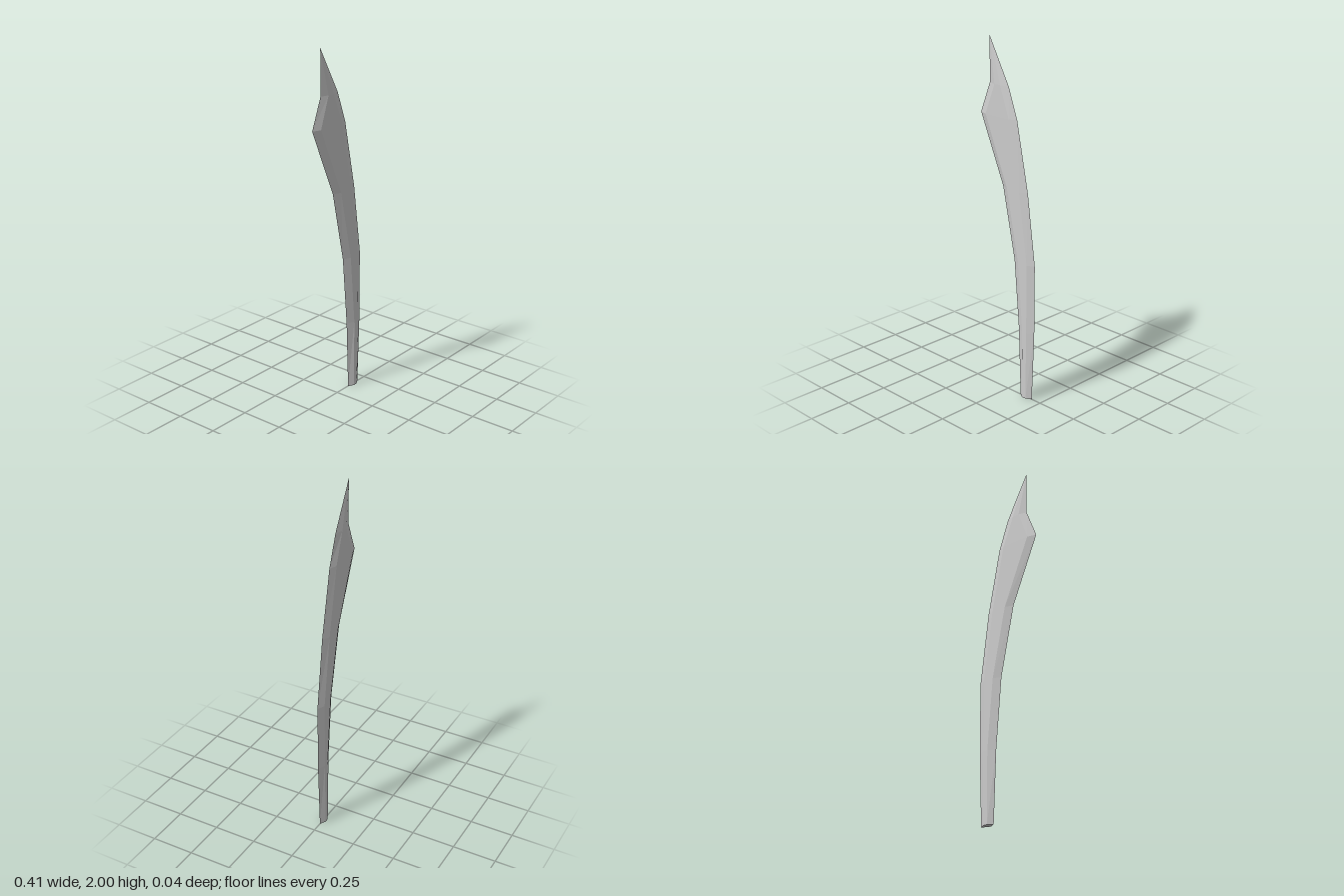
import * as THREE from 'three';

// Blade stations: height, left edge, left ridge, right ridge, right edge, half thickness
const STATIONS = [
  [0.00, 0.10, 0.13, 0.155, 0.187, 0.019],
  [0.40, 0.085, 0.13, 0.16, 0.202, 0.020],
  [0.80, 0.05, 0.095, 0.16, 0.202, 0.020],
  [1.20, -0.037, 0.01, 0.10, 0.147, 0.019],
  [1.58, -0.204, -0.153, 0.022, 0.067, 0.017],
  [1.75, -0.136, -0.088, -0.045, 0.004, 0.014],
  [2.00, -0.136, -0.136, -0.136, -0.136, 0],
];

// Six-sided section, running from the left edge round the front to the right edge and back
function section([y, edgeL, ridgeL, ridgeR, edgeR, t]) {
  return [
    [edgeL, y, 0], [ridgeL, y, t], [ridgeR, y, t],
    [edgeR, y, 0], [ridgeR, y, -t], [ridgeL, y, -t],
  ];
}

function loft(stations) {
  const rings = stations.map(section);
  const n = rings[0].length;
  const last = rings.length - 1;
  const positions = [];
  const tri = (...corners) => corners.forEach((p) => positions.push(...p));

  // Bevels and flats between neighbouring sections, closing to a point at the tip
  for (let i = 0; i < last; i++) {
    for (let j = 0; j < n; j++) {
      const k = (j + 1) % n;
      const a = rings[i][j], b = rings[i][k], c = rings[i + 1][k], d = rings[i + 1][j];
      tri(a, b, c);
      if (i < last - 1) tri(a, c, d);
    }
  }
  // Flat base
  for (let j = 1; j < n - 1; j++) tri(rings[0][0], rings[0][j + 1], rings[0][j]);

  const geometry = new THREE.BufferGeometry();
  geometry.setAttribute('position', new THREE.Float32BufferAttribute(positions, 3));
  geometry.computeVertexNormals();
  return geometry;
}

export function createModel() {
  const group = new THREE.Group();
  group.name = 'curvedBlade';

  const material = new THREE.MeshStandardMaterial({ color: 0xcccccc, flatShading: true });
  const blade = new THREE.Mesh(loft(STATIONS), material);
  blade.name = 'blade';
  group.add(blade);

  return group;
}
